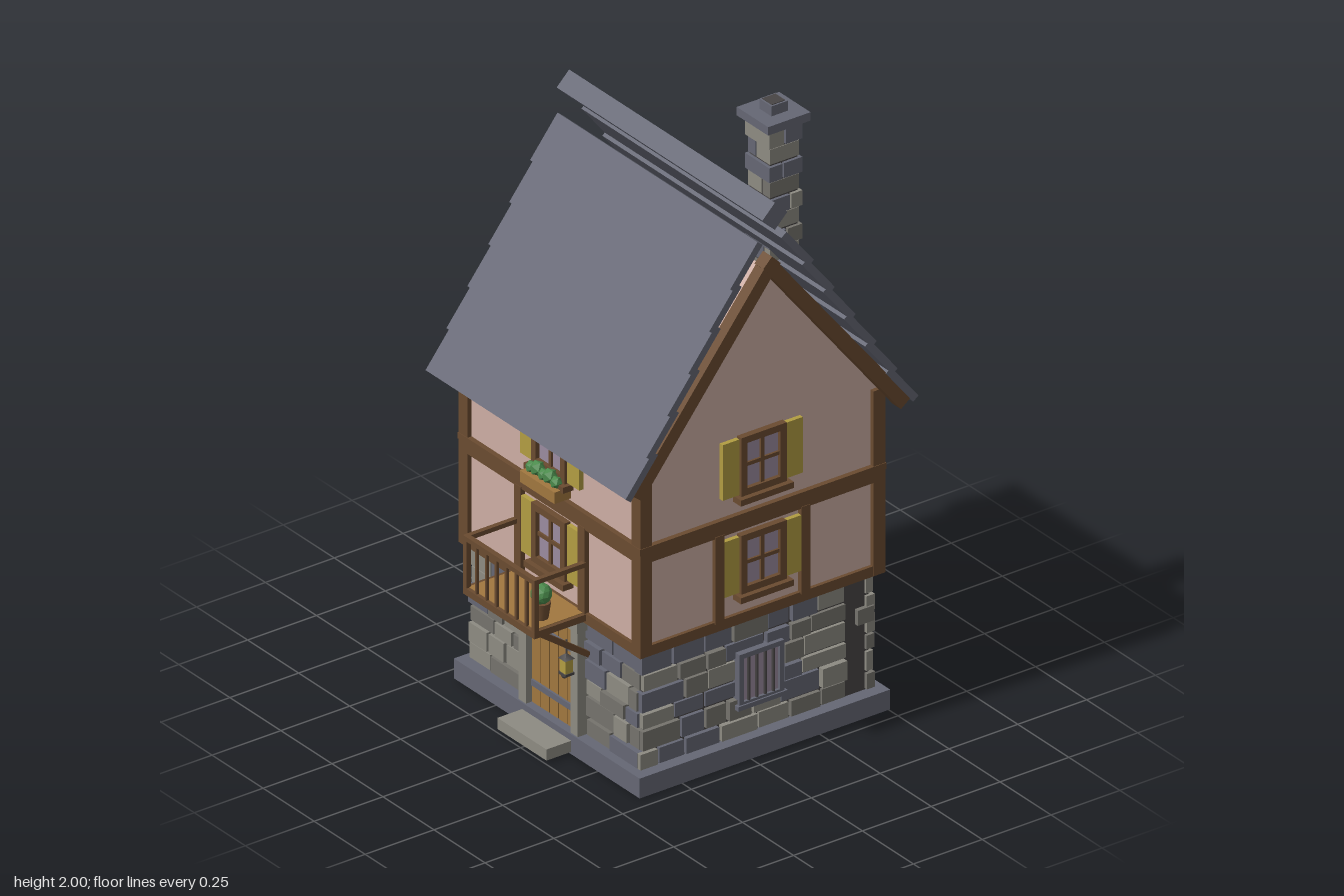
import * as THREE from 'three';

const mat = (name, color, extra = {}) => Object.assign(new THREE.MeshStandardMaterial({ color, ...extra }), { name });
const M = {
  plaster: mat('pink plaster', 0xcdaea4),
  timber: mat('dark timber', 0x6a4b30),
  slate: mat('blue slate', 0x656774),
  stone: mat('pale stone', 0x8d8b82),
  stoneMid: mat('grey stone', 0x75736d),
  mortar: mat('dark mortar and iron', 0x484545),
  wood: mat('tan wood', 0xa1773f),
  shutter: mat('yellow paint', 0xb29d42),
  glass: mat('mauve glass', 0x9b8b9f),
  leaf: mat('green leaf', 0x4b8b4c, { flatShading: true }),
};

// Seeded random numbers for the masonry
let seed = 11;
const rnd = () => (seed = (seed * 16807) % 2147483647) / 2147483647;
const stoneMat = () => { const r = rnd(); return r < 0.45 ? M.stone : r < 0.72 ? M.stoneMid : M.slate; };

function add(parent, name, geo, material, x = 0, y = 0, z = 0) {
  const m = new THREE.Mesh(geo, material);
  m.name = name;
  m.position.set(x, y, z);
  parent.add(m);
  return m;
}
// Box given by its limits on each axis
const box = (p, name, material, x0, x1, y0, y1, z0, z1) =>
  add(p, name, new THREE.BoxGeometry(x1 - x0, y1 - y0, z1 - z0), material, (x0 + x1) / 2, (y0 + y1) / 2, (z0 + z1) / 2);

function group(parent, name) {
  const g = new THREE.Group();
  g.name = name;
  parent.add(g);
  return g;
}

const WALL = 0.43;   // half width of the plaster storeys
const CORE = 0.41;   // half width of the stone storey

// Courses of uneven stones between u0 and u1 on one wall
function masonry(p, u0, u1) {
  const rows = [0.068, 0.128, 0.2, 0.255, 0.325, 0.385, 0.452];
  for (let r = 0; r < rows.length - 1; r++) {
    let u = u0 + (rnd() - 0.5) * 0.015;
    while (u < u1 - 0.03) {
      let end = u + 0.07 + rnd() * 0.09;
      if (end > u1 - 0.05) end = u1 - rnd() * 0.008;
      box(p, 'wallStone', stoneMat(), u, end - 0.009, rows[r] + 0.003, rows[r + 1] - 0.006, CORE - 0.015, CORE + 0.008 + rnd() * 0.012);
      u = end;
    }
  }
}

// Casement with crossbars, sill and two shutters
function casement(p, y, w = 0.165, h = 0.195) {
  const g = group(p, 'window'), z = WALL, a = w / 2, b = h / 2, t = 0.022;
  g.position.y = y;
  box(g, 'windowPane', M.glass, -a + 0.01, a - 0.01, -b + 0.01, b - 0.01, z - 0.01, z + 0.007);
  for (const s of [-1, 1]) {
    add(g, 'frameSide', new THREE.BoxGeometry(t, h, 0.03), M.timber, s * (a - t / 2), 0, z + 0.006);
    add(g, 'frameRail', new THREE.BoxGeometry(w, t, 0.03), M.timber, 0, s * (b - t / 2), z + 0.006);
    add(g, 'shutter', new THREE.BoxGeometry(0.06, h - 0.01, 0.018), M.shutter, s * (a + 0.033), 0, z + 0.006);
  }
  box(g, 'mullion', M.timber, -0.006, 0.006, -b, b, z - 0.005, z + 0.014);
  box(g, 'crossbar', M.timber, -a, a, -0.006, 0.006, z - 0.005, z + 0.014);
  box(g, 'sill', M.timber, -a - 0.014, a + 0.014, -b - 0.02, -b, z - 0.01, z + 0.038);
}

// Barred cellar opening
function cellarWindow(p) {
  const g = group(p, 'cellarWindow'), z = CORE;
  box(g, 'cellarPane', M.glass, -0.07, 0.07, 0.18, 0.335, z, z + 0.022);
  for (const s of [-1, 1]) {
    add(g, 'cellarFrameSide', new THREE.BoxGeometry(0.016, 0.165, 0.036), M.slate, s * 0.073, 0.26, z + 0.013);
    add(g, 'cellarFrameRail', new THREE.BoxGeometry(0.162, 0.016, 0.036), M.slate, 0, 0.26 + s * 0.08, z + 0.013);
  }
  for (let i = 0; i < 4; i++) add(g, 'ironBar', new THREE.CylinderGeometry(0.005, 0.005, 0.15, 6), M.mortar, -0.045 + i * 0.03, 0.258, z + 0.026);
  box(g, 'cellarSill', M.slate, -0.09, 0.09, 0.165, 0.18, z, z + 0.036);
}

function door(p) {
  const g = group(p, 'door'), z = CORE;
  for (let i = 0; i < 5; i++) box(g, 'doorPlank', M.wood, -0.108 + i * 0.0435, -0.068 + i * 0.0435, 0.066, 0.42, z, z + 0.018);
  for (const y of [0.135, 0.33]) box(g, 'ironStrap', M.slate, -0.105, 0.105, y - 0.01, y + 0.01, z, z + 0.025);
  add(g, 'doorKnob', new THREE.SphereGeometry(0.011, 10, 8), M.mortar, 0.065, 0.235, z + 0.028);
  for (const s of [-1, 1]) add(g, 'doorJamb', new THREE.BoxGeometry(0.036, 0.36, 0.05), M.stone, s * 0.127, 0.245, z + 0.015);
  box(g, 'doorLintel', M.stone, -0.155, 0.155, 0.417, 0.462, z - 0.01, z + 0.05);
  box(g, 'doorStep', M.stone, -0.12, 0.12, 0.008, 0.045, 0.45, 0.545);
}

function balcony(p) {
  const g = group(p, 'balcony'), z0 = 0.44, z1 = 0.63;
  box(g, 'balconyFloor', M.wood, -0.163, 0.163, 0.468, 0.487, z0, z1 - 0.012);
  box(g, 'floorEdge', M.timber, -0.175, 0.175, 0.463, 0.485, z1 - 0.014, z1);
  box(g, 'frontRail', M.timber, -0.175, 0.175, 0.642, 0.657, z1 - 0.018, z1);
  for (const s of [-1, 1]) {
    add(g, 'floorEdge', new THREE.BoxGeometry(0.014, 0.022, z1 - z0), M.timber, s * 0.168, 0.474, (z0 + z1) / 2);
    add(g, 'sideRail', new THREE.BoxGeometry(0.016, 0.015, z1 - z0), M.timber, s * 0.167, 0.6495, (z0 + z1) / 2);
    add(g, 'cornerPost', new THREE.BoxGeometry(0.016, 0.18, 0.016), M.timber, s * 0.167, 0.56, z1 - 0.009);
    const brace = add(g, 'bracket', new THREE.BoxGeometry(0.016, 0.018, 0.215), M.timber, s * 0.165, 0.407, 0.515);
    brace.rotation.x = -0.62;
  }
  for (let i = 1; i < 7; i++) box(g, 'baluster', M.timber, -0.17 + i * 0.0486, -0.161 + i * 0.0486, 0.48, 0.645, z1 - 0.013, z1 - 0.004);
  // Potted shrub
  add(g, 'plantPot', new THREE.CylinderGeometry(0.029, 0.021, 0.055, 10), M.timber, 0.115, 0.513, 0.56);
  add(g, 'shrub', new THREE.IcosahedronGeometry(0.033, 1), M.leaf, 0.115, 0.567, 0.56);
  // Hanging lantern
  const l = group(g, 'lantern');
  l.position.set(0.16, 0.33, 0.502);
  add(l, 'lanternGlass', new THREE.BoxGeometry(0.028, 0.046, 0.028), M.shutter);
  add(l, 'lanternCap', new THREE.ConeGeometry(0.026, 0.018, 4), M.mortar, 0, 0.032, 0).rotation.y = Math.PI / 4;
  add(l, 'lanternBase', new THREE.BoxGeometry(0.034, 0.008, 0.034), M.mortar, 0, -0.026, 0);
  add(l, 'lanternHook', new THREE.CylinderGeometry(0.003, 0.003, 0.05, 6), M.mortar, 0, 0.06, 0);
}

function flowerBox(p) {
  const g = group(p, 'flowerBox');
  box(g, 'planter', M.wood, -0.085, 0.085, 0.828, 0.866, WALL, 0.49);
  for (let i = 0; i < 5; i++) add(g, 'flowerLeaves', new THREE.IcosahedronGeometry(0.02 + (i % 2) * 0.005, 0), M.leaf, -0.06 + i * 0.03, 0.882 + (i % 2) * 0.008, 0.466);
}

function roof(p) {
  const g = group(p, 'roof'), pitch = Math.atan2(0.784, 0.621), L = 0.16;
  // Six lapped rows of slate on each slope
  for (const side of [0, Math.PI]) {
    const slope = group(g, 'roofSlope');
    slope.rotation.y = side;
    for (let i = 0; i < 6; i++) {
      const row = add(slope, 'slateRow', new THREE.BoxGeometry(0.98, 0.024, L), M.slate,
        0, 1.09 + i * 0.115, 0.473 - i * 0.076);
      row.rotation.x = pitch;
    }
  }
  add(g, 'ridgeCap', new THREE.BoxGeometry(1.008, 0.064, 0.064), M.slate, 0, 1.81, 0).rotation.x = Math.PI / 4;
  // Bargeboards at both gables
  const chevron = new THREE.Shape([[0, 1.67], [0.505, 1.035], [0.47, 1.008], [0, 1.6], [-0.47, 1.008], [-0.505, 1.035]]
    .map(([a, b]) => new THREE.Vector2(a, b)));
  const barge = new THREE.ExtrudeGeometry(chevron, { depth: 0.04, bevelEnabled: false }).translate(0, 0, -0.02).rotateY(Math.PI / 2);
  for (const s of [-1, 1]) {
    add(g, 'bargeboard', barge, M.timber, s * 0.468, 0, 0);
    add(g, 'gablePeakBlock', new THREE.BoxGeometry(0.044, 0.045, 0.045), M.timber, s * 0.468, 1.638, 0).rotation.x = Math.PI / 4;
  }
}

function chimney(p) {
  const g = group(p, 'chimney');
  g.position.set(0.208, 0, -0.215);
  box(g, 'chimneyCore', M.mortar, -0.05, 0.05, 1.2, 1.94, -0.05, 0.05);
  // Alternating split courses
  for (let i = 0; i < 13; i++) {
    const y = 1.235 + i * 0.0555, h = 0.0495, w = i % 2 ? 0.106 : 0.12, cut = (rnd() - 0.5) * 0.05;
    for (const [a, b] of [[-w / 2, cut - 0.003], [cut + 0.003, w / 2]]) {
      if (i % 2) box(g, 'chimneyStone', stoneMat(), a, b, y - h / 2, y + h / 2, -w / 2, w / 2);
      else box(g, 'chimneyStone', stoneMat(), -w / 2, w / 2, y - h / 2, y + h / 2, a, b);
    }
  }
  box(g, 'chimneyCap', M.slate, -0.077, 0.077, 1.937, 1.965, -0.077, 0.077);
  box(g, 'chimneyPot', M.slate, -0.03, 0.03, 1.96, 1.998, -0.03, 0.03);
  box(g, 'flue', M.mortar, -0.024, 0.024, 1.99, 2.0, -0.024, 0.024);
}

export function createModel() {
  const model = new THREE.Group();
  model.name = 'cottage';
  const house = group(model, 'house');
  house.position.z = -0.05;

  box(house, 'plinth', M.slate, -0.455, 0.455, 0, 0.066, -0.455, 0.455);
  box(house, 'stoneCore', M.mortar, -CORE, CORE, 0.06, 0.456, -CORE, CORE);
  box(house, 'floorFrame', M.timber, -0.442, 0.442, 0.453, 0.487, -0.442, 0.442);

  // Plaster storeys with gables
  const gable = new THREE.Shape([[-WALL, 0.47], [WALL, 0.47], [WALL, 1.065], [0, 1.62], [-WALL, 1.065]].map(([a, b]) => new THREE.Vector2(a, b)));
  add(house, 'plasterWalls', new THREE.ExtrudeGeometry(gable, { depth: WALL * 2, bevelEnabled: false }).translate(0, 0, -WALL).rotateY(Math.PI / 2), M.plaster);

  // Four walls: front, +x, back, -x
  ['frontWall', 'leftWall', 'backWall', 'rightWall'].forEach((name, i) => {
    const w = group(house, name);
    w.rotation.y = i * Math.PI / 2;
    box(w, 'floorBeam', M.timber, -0.444, 0.444, 0.765, 0.799, 0.41, 0.444);
    box(w, 'upperBeam', M.timber, -0.447, 0.447, 0.799, 0.82, 0.41, 0.447);
    box(w, 'cornerPost', M.timber, 0.402, 0.445, 0.455, 1.07, 0.402, 0.445);
    for (const s of [-1, 1]) add(w, 'stud', new THREE.BoxGeometry(0.033, 0.29, 0.03), M.timber, s * 0.156, 0.626, 0.431);
    casement(w, 0.977);
    casement(w, 0.652);
    if (i === 0) {
      masonry(w, -0.42, -0.146);
      masonry(w, 0.148, 0.422);
      door(w);
      balcony(w);
      flowerBox(w);
    } else {
      masonry(w, -0.422, i === 1 ? 0.33 : 0.422);
      if (i === 1) box(w, 'quoin', M.stoneMid, 0.36, 0.42, 0.295, 0.345, 0.39, 0.425);
      cellarWindow(w);
    }
  });

  roof(house);
  chimney(house);
  return model;
}
